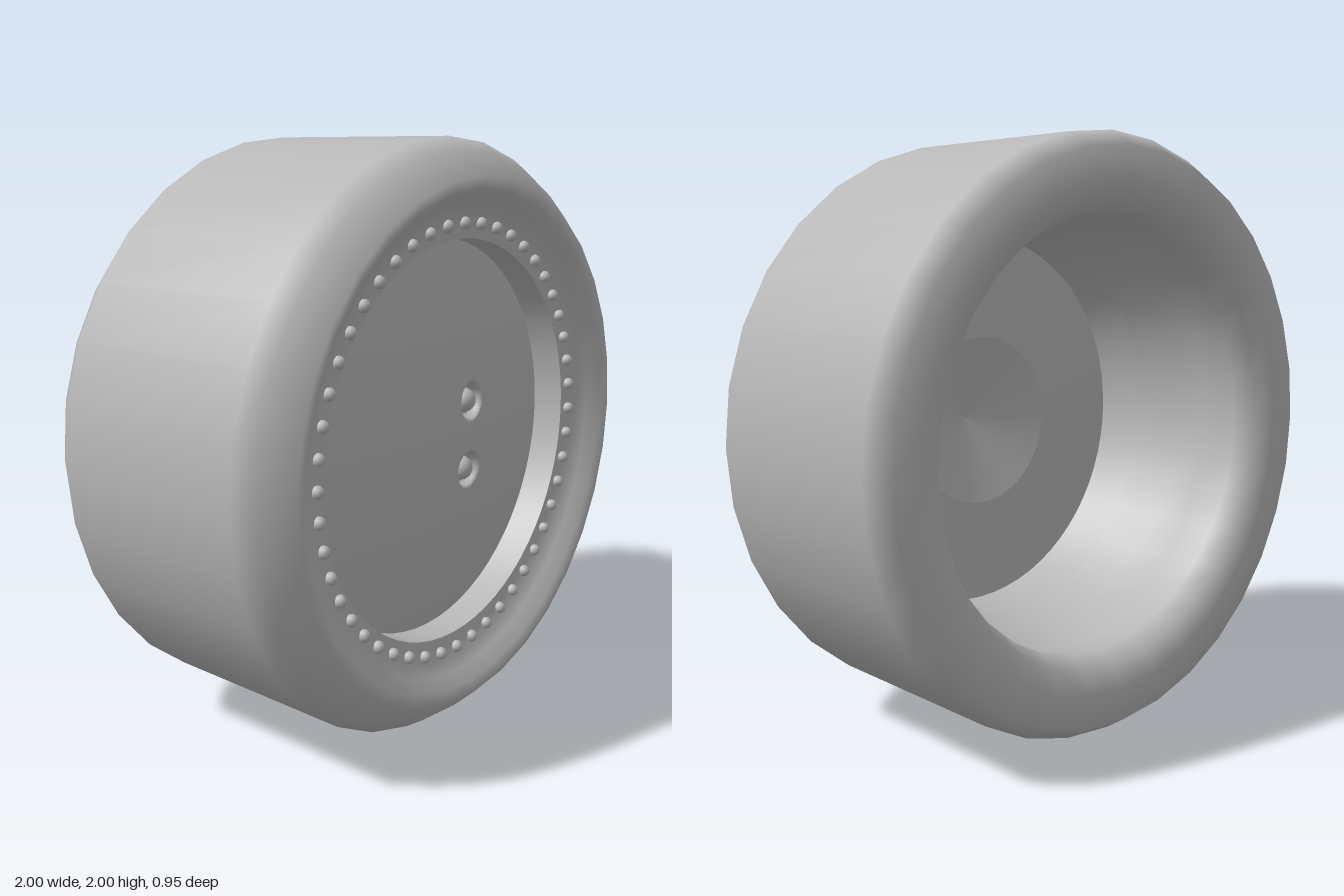
import * as THREE from 'three';
import { mergeVertices, toCreasedNormals } from 'three/addons/utils/BufferGeometryUtils.js';

const grey = new THREE.MeshStandardMaterial({ color: 0xb8b8b8 });
grey.name = 'plain grey';

// Revolves [radius, z] points around the axle (z axis)
function spin(points, segments) {
  const g = new THREE.LatheGeometry(points.map(([r, z]) => new THREE.Vector2(r, z)), segments);
  return g.rotateX(Math.PI / 2);
}

function add(parent, name, geometry, x = 0, y = 0, z = 0) {
  const m = new THREE.Mesh(geometry, grey);
  m.name = name;
  m.position.set(x, y, z);
  parent.add(m);
  return m;
}

export function createModel() {
  const model = new THREE.Group();
  model.name = 'wheel';
  const wheel = new THREE.Group();
  wheel.name = 'wheelAssembly';
  wheel.position.y = 1;
  model.add(wheel);

  // Tyre: hollow inner wall, back lip, tread, front shoulder and the slope into the rim
  add(wheel, 'tyre', spin([
    [0.71, 0.08], [0.74, -0.08], [0.75, -0.23], [0.73, -0.37], [0.765, -0.44], [0.84, -0.472],
    [0.95, -0.475], [1, -0.4], [1, 0.33], [0.96, 0.39], [0.88, 0.475],
    [0.84, 0.462], [0.80, 0.425], [0.76, 0.398], [0.72, 0.39],
  ], 32));

  // Flat rim band and the short wall down to the domed cover
  add(wheel, 'rimBand', toCreasedNormals(spin([[0.725, 0.39], [0.68, 0.385], [0.68, 0.26]], 64), 0.6));

  // Back plate with a conical hollow in the middle, and the drum wall around it
  add(wheel, 'backPlate', toCreasedNormals(spin([
    [0, 0.335], [0.31, 0.235], [0.68, 0.25], [0.71, 0.08],
  ], 64), 0.3));

  // Domed cover with two round recesses for the bolts
  const bolts = [[0.125, 0.12], [0.115, -0.12]];
  const domeZ = (r) => 0.27 + 0.09 * (1 - (r / 0.68) ** 2);
  const rings = 96;
  const profile = [];
  for (let i = 0; i <= rings; i++) {
    const r = 0.68 * (1 - i / rings);
    profile.push([r, domeZ(r)]);
  }
  let dome = spin(profile, 192);
  const p = dome.attributes.position;
  for (let i = 0; i < p.count; i++) {
    for (const [bx, by] of bolts) {
      const d = Math.hypot(p.getX(i) - bx, p.getY(i) - by);
      p.setZ(i, p.getZ(i) - 0.035 * (1 - THREE.MathUtils.smoothstep(d, 0.05, 0.066)));
    }
  }
  dome.deleteAttribute('normal');
  dome.deleteAttribute('uv');
  dome = mergeVertices(dome);
  dome.computeVertexNormals();
  add(wheel, 'domedCover', dome);

  // Half-round bolts sitting in the recesses
  const bolt = new THREE.SphereGeometry(0.043, 16, 6, 0, Math.PI * 2, 0, Math.PI / 2).rotateX(Math.PI / 2);
  for (const [x, y] of bolts) add(wheel, 'bolt', bolt, x, y, domeZ(Math.hypot(x, y)) - 0.036);

  // Ring of rivets
  const rivet = new THREE.SphereGeometry(0.021, 10, 8);
  const count = 48;
  for (let i = 0; i < count; i++) {
    const a = (i / count) * Math.PI * 2;
    add(wheel, 'rivet', rivet, 0.713 * Math.sin(a), 0.73 * Math.cos(a), 0.397);
  }
  return model;
}
